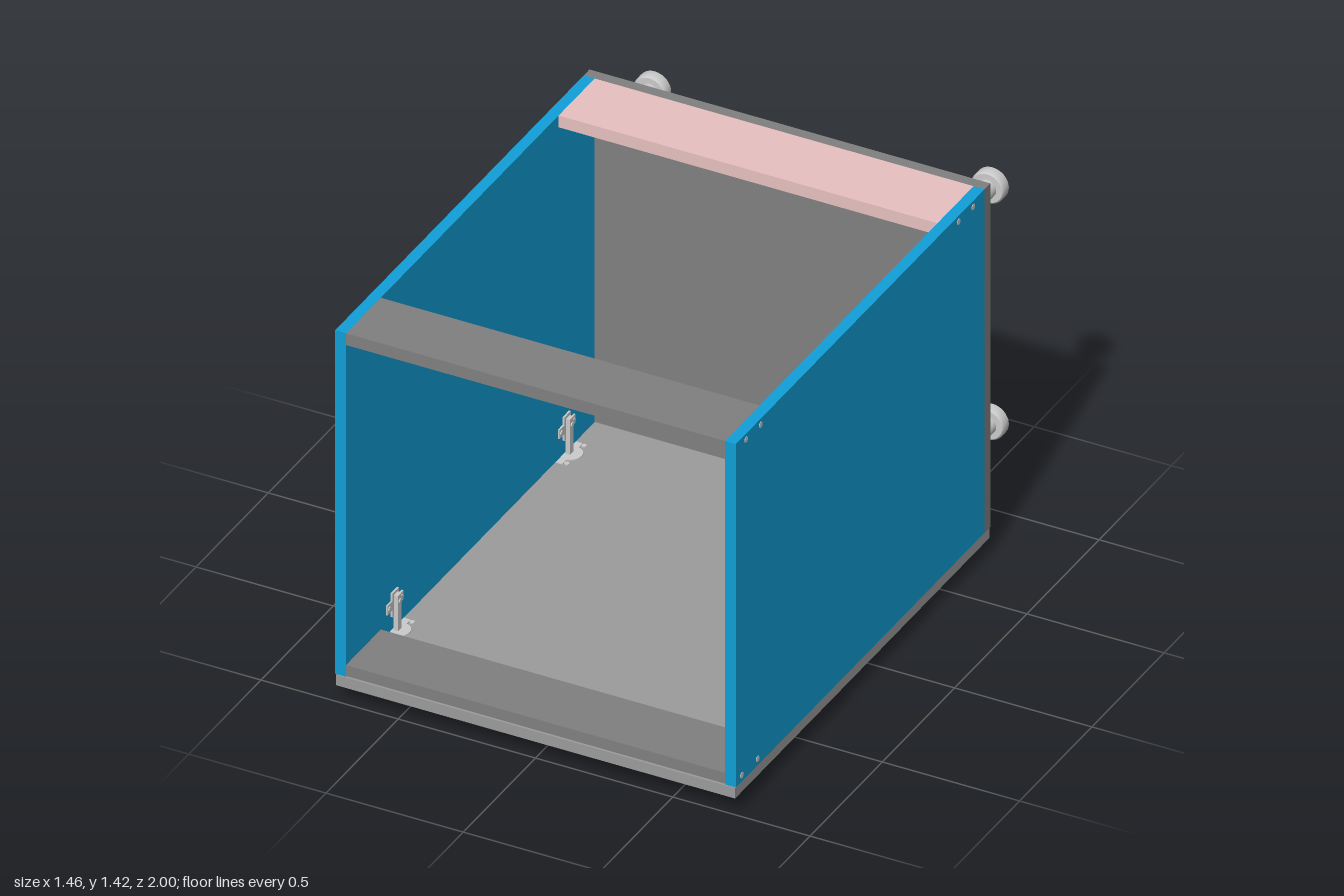
import * as THREE from 'three';

const paint = (color) => new THREE.MeshStandardMaterial({ color });
const blue = paint(0x109fd8), dark = paint(0x808080), door = paint(0x9c9c9c);
const pink = paint(0xe8c0c0), metal = paint(0xcccccc), hole = paint(0x444444);

export function createModel() {
  const model = new THREE.Group();

  const add = (parent, name, geometry, material) => {
    const mesh = new THREE.Mesh(geometry, material);
    mesh.name = name;
    parent.add(mesh);
    return mesh;
  };
  // Box given by its lower and upper limits on each axis
  const box = (parent, name, [x0, x1], [y0, y1], [z0, z1], material) => {
    const mesh = add(parent, name, new THREE.BoxGeometry(x1 - x0, y1 - y0, z1 - z0), material);
    mesh.position.set((x0 + x1) / 2, (y0 + y1) / 2, (z0 + z1) / 2);
    return mesh;
  };
  // Flush screw head whose axis runs along x, y or z
  const screw = (parent, x, y, z, axis, r = 0.011) => {
    const mesh = add(parent, 'screw', new THREE.CylinderGeometry(r, r, 0.006, 12), metal);
    mesh.position.set(x, y, z);
    if (axis === 'x') mesh.rotation.z = Math.PI / 2;
    if (axis === 'z') mesh.rotation.x = Math.PI / 2;
  };

  // Carcass panels and rails
  box(model, 'leftSidePanel', [0.69, 0.73], [0.105, 1.42], [-0.72, 1], blue);
  box(model, 'rightSidePanel', [-0.73, -0.69], [0.105, 1.42], [-0.72, 1], blue);
  box(model, 'backPanel', [-0.73, 0.73], [0.105, 1.42], [-0.76, -0.72], dark);
  box(model, 'upperFrontRail', [-0.69, 0.69], [1.375, 1.42], [0.76, 1], dark);
  box(model, 'lowerFrontRail', [-0.69, 0.69], [0.108, 0.15], [0.76, 1], dark);
  box(model, 'upperBackRail', [-0.69, 0.69], [1.375, 1.42], [-0.72, -0.47], pink);
  box(model, 'door', [-0.727, 0.727], [0.062, 0.102], [-0.76, 1], door);

  // Assembly screws in the sides and the back
  const screws = new THREE.Group();
  screws.name = 'assemblyScrews';
  model.add(screws);
  for (const s of [-1, 1]) {
    for (const [y, z] of [[1.398, 0.93], [1.398, 0.83], [1.398, -0.54], [1.398, -0.64], [0.13, 0.96], [0.13, 0.85]])
      screw(screws, s * 0.729, y, z, 'x');
    for (const y of [0.17, 0.77, 1.36]) screw(screws, s * 0.71, y, -0.759, 'z');
  }

  // Feet: rounded flange, tube and end pad turned about one axis
  const profile = [
    [0, 0], [0.072, 0], [0.072, 0.034], [0.07, 0.041], [0.063, 0.046], [0.036, 0.046],
    [0.033, 0.05], [0.033, 0.196], [0.054, 0.196], [0.06, 0.202], [0.06, 0.233], [0.054, 0.24], [0, 0.24],
  ].map(([r, h]) => new THREE.Vector2(r, h));
  // Doubled points keep the steps between the parts crisp
  const crisp = profile.flatMap((p, i) => ([1, 5, 7, 8, 11].includes(i) ? [p, p.clone()] : [p]));
  const footGeometry = new THREE.LatheGeometry(crisp, 32);
  for (const x of [-0.615, 0.615]) for (const y of [0.35, 1.255]) {
    const foot = new THREE.Group();
    foot.name = 'foot';
    foot.position.set(x, y, -0.76);
    foot.rotation.x = -Math.PI / 2;
    add(foot, 'footBody', footGeometry, metal);
    for (let i = 0; i < 4; i++) {
      const a = Math.PI / 4 + i * Math.PI / 2;
      const h = add(foot, 'flangeHole', new THREE.CylinderGeometry(0.009, 0.009, 0.002, 12), hole);
      h.position.set(0.05 * Math.cos(a), 0.0465, 0.05 * Math.sin(a));
    }
    model.add(foot);
  }

  // Bow handle under the door, extruded across its width
  const bow = new THREE.Shape([
    [0.33, 0.062], [0.4, 0.062], [0.43, 0.012], [0.845, 0.012], [0.88, 0.062], [0.955, 0.062],
    [0.955, 0.05], [0.89, 0.05], [0.853, 0], [0.422, 0], [0.392, 0.05], [0.33, 0.05],
  ].map(([z, y]) => new THREE.Vector2(z, y)));
  const handle = add(model, 'handle', new THREE.ExtrudeGeometry(bow, { depth: 0.046, bevelEnabled: false }), metal);
  handle.rotation.y = -Math.PI / 2;
  handle.position.x = 0.655;
  for (const z of [0.4, 0.91]) screw(model, 0.63, 0.101, z, 'y', 0.009);

  // Hinges between the door and the right side panel
  for (const z of [0.67, -0.52]) {
    const hinge = new THREE.Group();
    hinge.name = 'hinge';
    hinge.position.z = z;
    const cup = add(hinge, 'cup', new THREE.CylinderGeometry(0.042, 0.042, 0.006, 28), metal);
    cup.position.set(-0.673, 0.103, 0);
    cup.scale.x = 0.98;
    box(hinge, 'cupFlange', [-0.69, -0.665], [0.101, 0.105], [-0.07, 0.07], metal);
    box(hinge, 'mountingPlate', [-0.69, -0.683], [0.16, 0.25], [-0.022, 0.022], metal);
    box(hinge, 'plateWings', [-0.69, -0.684], [0.185, 0.22], [-0.055, 0.055], metal);
    box(hinge, 'arm', [-0.684, -0.668], [0.104, 0.24], [-0.013, 0.013], metal);
    for (const s of [-1, 1]) {
      screw(hinge, -0.655, 0.103, s * 0.06, 'y', 0.009);
      screw(hinge, -0.683, 0.203, s * 0.042, 'x', 0.009);
    }
    screw(hinge, -0.667, 0.215, 0, 'x', 0.009);
    model.add(hinge);
  }

  return model;
}
